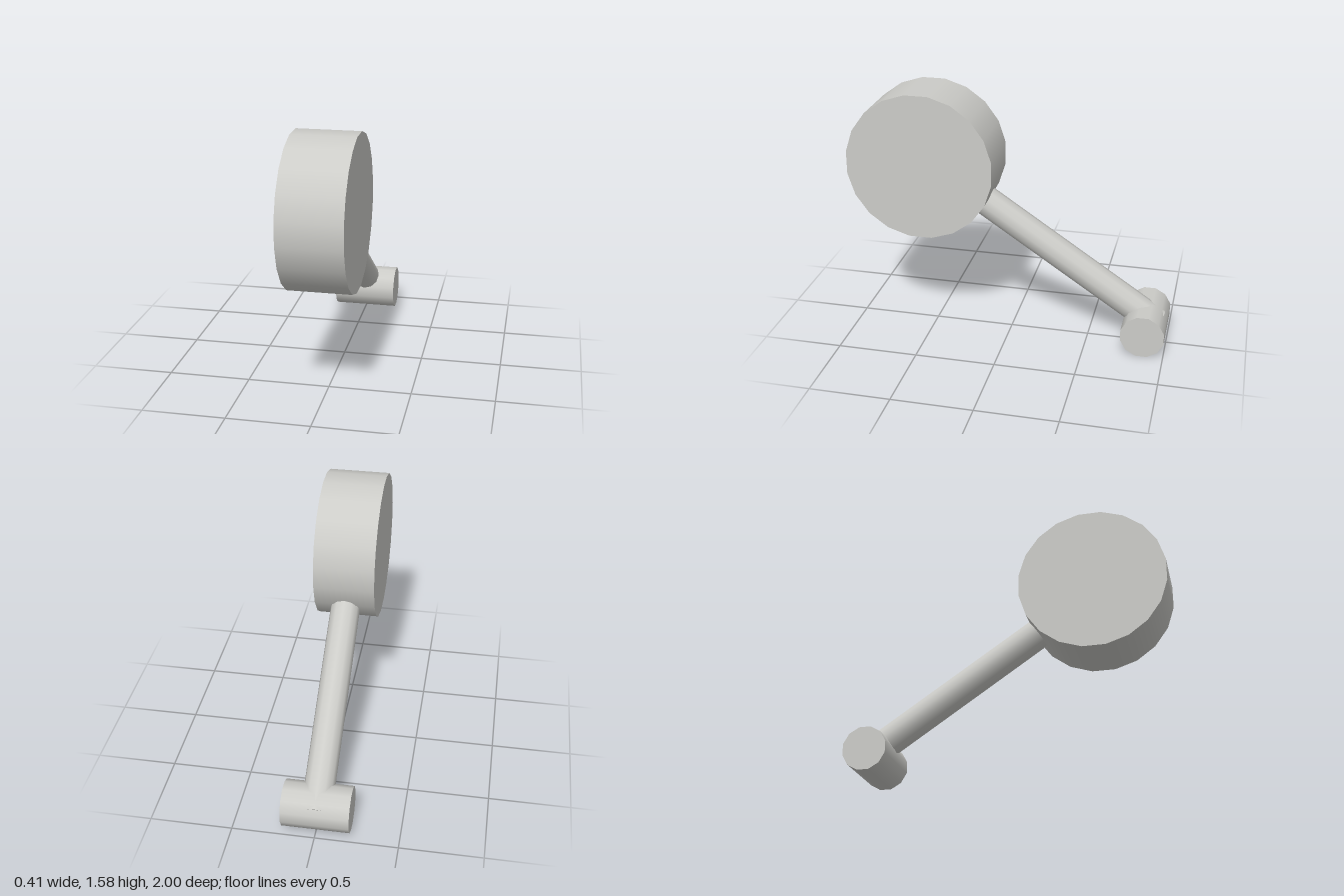
import * as THREE from 'three';

export function createModel() {
  const model = new THREE.Group();
  const paleGrey = new THREE.MeshStandardMaterial({ color: 0xccccc8 });
  paleGrey.name = 'paleGrey';

  function add(name, geometry, y, z) {
    const mesh = new THREE.Mesh(geometry, paleGrey);
    mesh.name = name;
    mesh.position.set(0, y, z);
    model.add(mesh);
    return mesh;
  }

  // Drum lying along x, with a flat facet on top
  function drum(radius, width, sides) {
    return new THREE.CylinderGeometry(radius, radius, width, sides, 1, false, Math.PI / sides)
      .rotateZ(Math.PI / 2);
  }

  add('wheel', drum(0.463, 0.38, 20), 1.123, 0.542);
  add('pivot', drum(0.139, 0.41, 12), 0.134, -0.866);

  // Sloping arm: starts just behind the pivot, ends inside the wheel
  const start = new THREE.Vector3(0, 0.139, -0.934);
  const end = new THREE.Vector3(0, 1.026, 0.4);
  const along = end.clone().sub(start);
  const middle = start.clone().add(end).multiplyScalar(0.5);
  const arm = add('arm', new THREE.CylinderGeometry(0.093, 0.093, along.length(), 12), middle.y, middle.z);
  arm.rotation.x = Math.atan2(along.z, along.y);

  return model;
}
